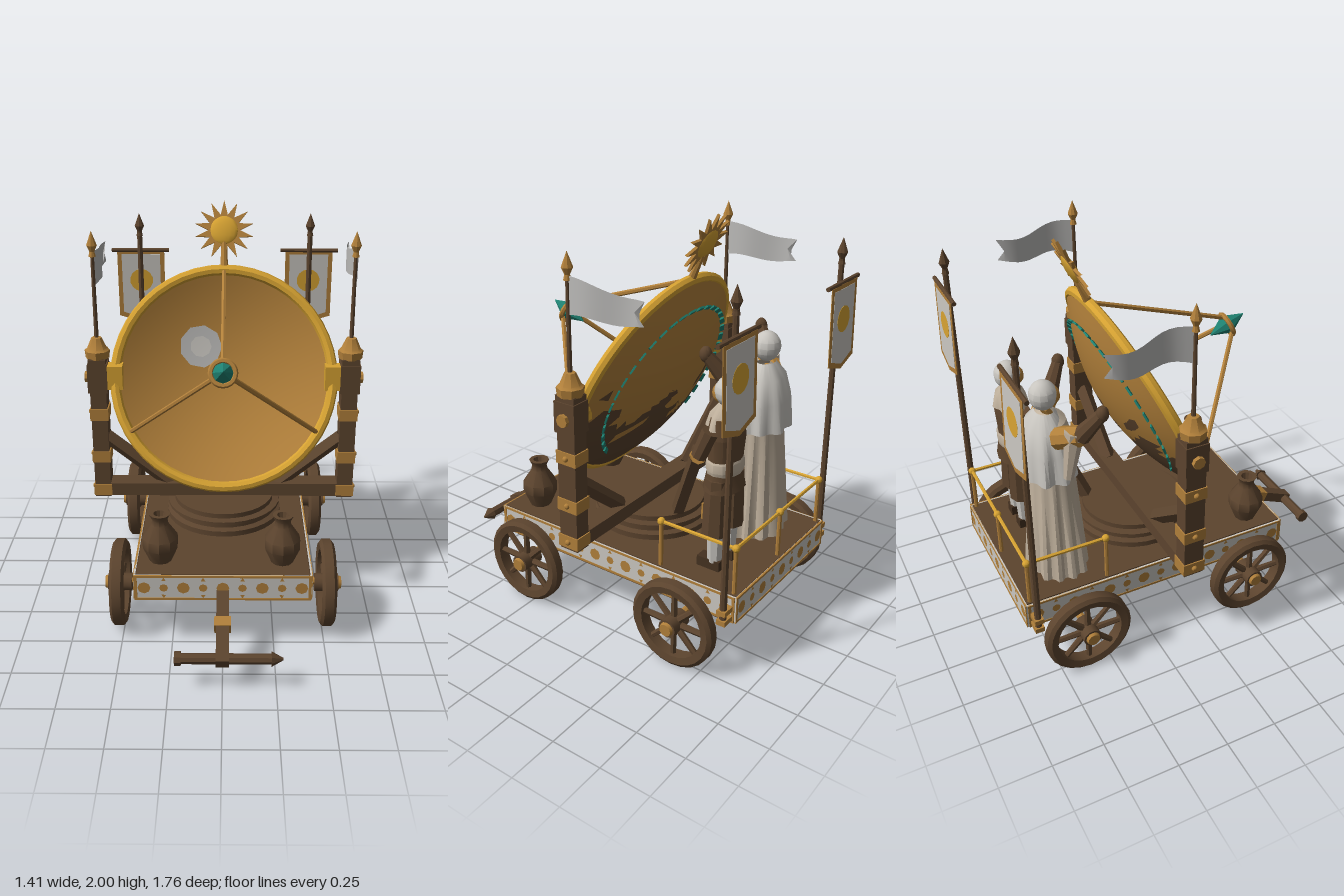
import * as THREE from 'three';
import { toCreasedNormals } from 'three/addons/utils/BufferGeometryUtils.js';

const V = (x, y, z) => new THREE.Vector3(x, y, z);
const material = (name, color, side = THREE.FrontSide) => {
  const m = new THREE.MeshStandardMaterial({ color, side });
  m.name = name;
  return m;
};
const D = THREE.DoubleSide;

export function createModel() {
  const root = new THREE.Group();
  root.name = 'sunDishWagon';
  const wood = material('wood', 0x5c442e), darkWood = material('darkWood', 0x443120);
  const bronze = material('bronze', 0xb07f3a), gold = material('gold', 0xd6a232);
  const ivory = material('ivory', 0xc9c6c0), linen = material('linen', 0xbfb09c, D);
  const cloth = material('flagCloth', 0xb9b8b6, D), teal = material('teal', 0x1f8272);

  // ---- helpers ----
  const add = (name, geo, mat, parent = root, pos) => {
    const m = new THREE.Mesh(toCreasedNormals(geo, 0.6), mat);
    m.name = name;
    if (pos) m.position.set(...pos);
    parent.add(m);
    return m;
  };
  const box = (name, w, h, d, mat, pos, parent) => add(name, new THREE.BoxGeometry(w, h, d), mat, parent, pos);
  const rod = (name, a, b, r1, r2, mat, parent = root, sides = 8) => {
    const dir = b.clone().sub(a);
    const m = add(name, new THREE.CylinderGeometry(r2, r1, dir.length(), sides), mat, parent);
    m.position.copy(a).add(b).multiplyScalar(0.5);
    m.quaternion.setFromUnitVectors(V(0, 1, 0), dir.normalize());
    return m;
  };
  const beam = (name, a, b, w, mat) => rod(name, a, b, w * 0.707, w * 0.707, mat, root, 4);
  const lathe = (name, pts, mat, pos, parent = root, seg = 12) =>
    add(name, new THREE.LatheGeometry(pts.map(p => new THREE.Vector2(...p)), seg), mat, parent, pos);
  const ball = (name, r, mat, pos, parent = root, sy = 1) =>
    add(name, new THREE.SphereGeometry(r, 12, 8).scale(1, sy, 1), mat, parent, pos);
  const spear = [[0, 0], [0.018, 0.005], [0.012, 0.03], [0.026, 0.06], [0, 0.13]];

  // ---- deck and underframe ----
  box('deck', 0.83, 0.05, 1.4, wood, [0, 0.387, -0.17]);
  for (const s of [-1, 1]) {
    box('sideBoard', 0.03, 0.13, 1.4, darkWood, [s * 0.405, 0.342, -0.17]);
    box('underBeam', 0.065, 0.11, 1.3, wood, [s * 0.36, 0.295, -0.17]);
    box('endBoard', 0.83, 0.13, 0.03, darkWood, [0, 0.342, -0.17 + s * 0.685]);
  }
  for (const z of [-0.6, -0.3, 0, 0.3]) box('crossBeam', 0.75, 0.06, 0.07, wood, [0, 0.335, z]);

  // ---- decorated skirt panels ----
  const skirt = (len, pos, turn) => {
    const g = new THREE.Group();
    g.name = 'skirtPanel';
    g.position.set(...pos);
    g.rotation.y = turn;
    root.add(g);
    box('panel', len, 0.135, 0.009, ivory, [0, 0, 0], g);
    for (const s of [-1, 1]) {
      box('panelTrim', len, 0.011, 0.009, bronze, [0, s * 0.062, 0.003], g);
      box('panelEnd', 0.014, 0.135, 0.009, bronze, [s * (len / 2 - 0.007), 0, 0.003], g);
    }
    const n = Math.round(len / 0.094);
    for (let i = 0; i < n; i++) {
      const x = (i + 0.5 - n / 2) * len / n;
      add('rosette', new THREE.CircleGeometry(i % 2 ? 0.021 : 0.031, 8), bronze, g, [x, 0, 0.007]);
      for (const s of [-1, 1]) if (i % 2)
        add('petal', new THREE.CircleGeometry(0.013, 3, s * Math.PI / 2), bronze, g, [x, s * 0.045, 0.007]);
    }
  };
  skirt(0.85, [0, 0.342, 0.533], 0);
  skirt(0.85, [0, 0.342, -0.873], Math.PI);
  skirt(1.4, [0.423, 0.342, -0.17], Math.PI / 2);
  skirt(1.4, [-0.423, 0.342, -0.17], -Math.PI / 2);

  // ---- wheels and axles ----
  const rim = [[0.165, -0.03], [0.2, -0.036], [0.218, -0.022], [0.218, 0.022], [0.2, 0.036], [0.165, 0.03], [0.165, -0.03]];
  for (const z of [0.295, -0.61]) {
    rod('axle', V(-0.52, 0.23, z), V(0.52, 0.23, z), 0.02, 0.02, bronze);
    box('axleBolster', 0.78, 0.05, 0.06, wood, [0, 0.262, z]);
    for (const s of [-1, 1]) {
      const w = new THREE.Group();
      w.name = 'wheel';
      w.position.set(s * 0.52, 0.22, z);
      w.rotation.z = -s * Math.PI / 2;
      root.add(w);
      lathe('rim', rim, wood, null, w, 24);
      add('hub', new THREE.CylinderGeometry(0.045, 0.045, 0.12, 12), wood, w);
      add('hubCap', new THREE.CylinderGeometry(0.03, 0.037, 0.02, 12), bronze, w, [0, 0.065, 0]);
      for (let i = 0; i < 8; i++) {
        const a = i * Math.PI / 4, c = Math.cos(a), d = Math.sin(a);
        rod('spoke', V(c * 0.03, 0, d * 0.03), V(c * 0.175, 0, d * 0.175), 0.017, 0.014, wood, w, 6);
      }
    }
  }

  // ---- drawbar ----
  const bar = box('drawbar', 0.06, 0.055, 0.4, wood, [0, 0.233, 0.69]);
  bar.rotation.x = 0.42;
  const band = box('drawbarBand', 0.078, 0.07, 0.05, bronze, [0, 0.233, 0.68]);
  band.rotation.x = 0.42;
  rod('pullBar', V(-0.215, 0.163, 0.845), V(0.23, 0.163, 0.845), 0.025, 0.025, wood);
  rod('pullBarTip', V(0.225, 0.163, 0.845), V(0.28, 0.163, 0.845), 0.035, 0.005, wood);
  rod('pullBarEnd', V(-0.22, 0.163, 0.845), V(-0.19, 0.163, 0.845), 0.033, 0.033, wood);

  // ---- turntable, cross beam and posts ----
  lathe('turntable', [[0.3, 0.41], [0.3, 0.44], [0.275, 0.45], [0.275, 0.465], [0.295, 0.475], [0.295, 0.49],
    [0.26, 0.495], [0.26, 0.52], [0, 0.52]], wood, [0, 0, -0.125], root, 32);
  box('crossBeam', 1.3, 0.07, 0.1, wood, [0, 0.552, -0.125]);
  for (const s of [-1, 1]) {
    const x = s * 0.637;
    box('post', 0.082, 0.77, 0.1, wood, [x, 0.895, -0.125]);
    for (const y of [0.552, 0.742, 0.98]) {
      box('postBand', 0.094, 0.062, 0.112, bronze, [x, y, -0.125]);
      ball('rivet', 0.014, bronze, [x + s * 0.047, y, -0.125]);
    }
    box('postHead', 0.1, 0.15, 0.115, wood, [x, 1.175, -0.125]);
    rod('trunnionCap', V(x, 1.17, -0.125), V(x + s * 0.068, 1.17, -0.125), 0.034, 0.03, bronze);
    rod('trunnion', V(s * 0.53, 1.17, -0.12), V(x, 1.17, -0.12), 0.03, 0.03, gold);
    box('trunnionBracket', 0.08, 0.125, 0.07, gold, [s * 0.55, 1.18, -0.105]);
    box('postNeck', 0.088, 0.03, 0.105, wood, [x, 1.262, -0.125]);
    lathe('postCap', [[0, 1.27], [0.06, 1.275], [0.064, 1.315], [0.05, 1.325], [0.026, 1.38], [0, 1.385]], bronze, [x, 0, -0.125], root, 8);
    beam('brace', V(s * 0.61, 0.84, -0.125), V(s * 0.28, 0.57, -0.125), 0.055, wood);
    rod('flagPole', V(x, 1.37, -0.125), V(x, 1.81, -0.125), 0.011, 0.009, wood);
    lathe('flagPoleTip', spear, bronze, [x, 1.785, -0.125], root, 8);

    // swallow-tailed flag, tapering and waving backwards
    const flag = new THREE.PlaneGeometry(0.4, 0.17, 12, 2), p = flag.attributes.position;
    for (let i = 0; i < p.count; i++) {
      const u = p.getX(i) / 0.4 + 0.5, v = p.getY(i) / 0.085;
      const notch = v === 0 && u > 0.99 ? 0.05 : 0;
      p.setXYZ(i, 0.022 * Math.sin(u * 6) + 0.02 * u,
        v * (0.085 - 0.032 * u) - 0.012 * u + 0.012 * Math.sin(u * 7), -u * 0.4 + notch);
    }
    flag.computeVertexNormals();
    add('flag', flag, cloth, root, [x, 1.725, -0.13]);
  }

  // ---- tilted dish ----
  const dish = new THREE.Group();
  dish.name = 'dish';
  dish.position.set(0, 1.17, -0.105);
  dish.rotation.x = -0.405;
  root.add(dish);
  const R = 0.55, depth = r => -0.15 * (1 - (r / R) ** 2);
  const arc = Array.from({ length: 13 }, (_, i) => i / 12 * R);
  const bowl = (pts) => new THREE.LatheGeometry(pts.map(q => new THREE.Vector2(...q)), 48).rotateX(Math.PI / 2);
  add('dishFace', bowl(arc.map(r => [r, depth(r)]).reverse()), bronze, dish);
  // weathered back: bronze above, bare wood with ragged patches below
  const back = bowl(arc.map(r => [r, depth(r) - 0.02])).toNonIndexed(), bp = back.attributes.position;
  const tone = [[], []];
  for (let i = 0; i < bp.count; i += 3) {
    const x = (bp.getX(i) + bp.getX(i + 1) + bp.getX(i + 2)) / 3, y = (bp.getY(i) + bp.getY(i + 1) + bp.getY(i + 2)) / 3;
    tone[y < -0.08 + 0.09 * Math.sin(x * 17) + 0.08 * Math.sin(y * 41 + x * 23) ? 1 : 0].push(i, i + 1, i + 2);
  }
  [bronze, wood].forEach((m, k) => {
    const g = back.clone();
    g.setIndex(tone[k]);
    add(k ? 'dishBackBare' : 'dishBack', g, m, dish);
  });
  add('dishRim', new THREE.TorusGeometry(0.55, 0.027, 8, 48), gold, dish);
  // pale polished spot
  [[0.11, cloth, 0.004], [0.055, ivory, 0.008]].forEach(([r, m, lift]) => {
    const g = new THREE.CircleGeometry(r, 9), q = g.attributes.position;
    for (let i = 0; i < q.count; i++) {
      const x = q.getX(i) - 0.12, y = q.getY(i) + 0.17;
      q.setXYZ(i, x, y, depth(Math.hypot(x, y)) + lift);
    }
    add('polishedSpot', g, m, dish);
  });
  // teal tiles around the back
  for (let i = 0; i < 29; i++) {
    const a = -0.75 + i * 0.161, g = new THREE.BoxGeometry(0.036, 0.045, 0.009);
    g.rotateY(0.4).translate(0.43, 0, depth(0.43) - 0.022).rotateZ(a);
    add('tealTile', g, teal, dish);
  }

  // ---- receiver and struts ----
  const feed = V(0, -0.017, 0.565);
  feed.y = 0.0;
  for (const a of [90, 210, 330].map(THREE.MathUtils.degToRad))
    rod('strut', V(Math.cos(a) * 0.545, Math.sin(a) * 0.545, 0.01), V(Math.cos(a) * 0.05, Math.sin(a) * 0.05, 0.56), 0.012, 0.012, bronze, dish, 6);
  add('receiverRing', new THREE.TorusGeometry(0.056, 0.013, 6, 20), bronze, dish, feed.toArray());
  rod('receiverFront', feed, V(0, 0, 0.665), 0.05, 0.002, teal, dish, 8);
  rod('receiverBack', feed, V(0, 0, 0.465), 0.05, 0.002, teal, dish, 8);

  // ---- sun crest ----
  const star = new THREE.Shape();
  for (let i = 0; i < 28; i++) {
    const r = i % 2 ? 0.08 : 0.15, a = i * Math.PI / 14 + Math.PI / 2;
    star[i ? 'lineTo' : 'moveTo'](r * Math.cos(a), r * Math.sin(a));
  }
  add('sunRays', new THREE.ExtrudeGeometry(star, { depth: 0.014, bevelEnabled: false }), bronze, dish, [0, 0.75, -0.007]);
  add('sunCore', new THREE.SphereGeometry(0.075, 16, 8).scale(1, 1, 0.3), gold, dish, [0, 0.75, 0]);
  rod('sunStem', V(0, 0.56, 0), V(0, 0.69, 0), 0.02, 0.014, bronze, dish);

  // ---- rear banners ----
  const bannerShape = (w, top, side, tip) => new THREE.Shape([[-w, top], [-w, side], [0, tip], [w, side], [w, top]].map(q => new THREE.Vector2(...q)));
  const plate = (shape, t) => new THREE.ExtrudeGeometry(shape, { depth: t, bevelEnabled: false }).translate(0, 0, -t / 2);
  for (const s of [-1, 1]) {
    const x = s * 0.472;
    rod('bannerPole', V(x, 0.29, -0.84), V(x, 1.76, -0.84), 0.017, 0.014, wood);
    lathe('bannerPoleTip', spear, wood, [x, 1.73, -0.84], root, 8);
    rod('bannerBar', V(x - 0.16, 1.65, -0.857), V(x + 0.16, 1.65, -0.857), 0.011, 0.011, wood);
    for (const y of [0.35, 0.3]) box('poleBracket', 0.09, 0.025, 0.045, bronze, [s * 0.45, y, -0.84]);
    const b = new THREE.Group();
    b.name = 'banner';
    b.position.set(x, 1.645, -0.865);
    b.rotation.x = 0.03;
    root.add(b);
    add('bannerBorder', plate(bannerShape(0.132, 0, -0.38, -0.42), 0.004), bronze, b);
    add('bannerField', plate(bannerShape(0.108, -0.02, -0.358, -0.395), 0.007), ivory, b);
    const disc = new THREE.CylinderGeometry(0.065, 0.065, 0.009, 14).rotateX(Math.PI / 2);
    add('bannerSun', disc, gold, b, [0, -0.17, 0]);
  }

  // ---- rear railing ----
  const railPts = [V(-0.4, 0.645, -0.45), V(-0.4, 0.645, -0.85), V(0, 0.645, -0.85), V(0.4, 0.645, -0.85), V(0.4, 0.645, -0.45)];
  railPts.forEach((p, i) => {
    rod('railPost', V(p.x, 0.41, p.z), p, 0.011, 0.011, bronze);
    ball('railKnob', 0.019, gold, p.toArray());
    if (i) rod('rail', railPts[i - 1], p, 0.009, 0.009, gold, root, 6);
  });

  // ---- clay pots ----
  for (const [x, z] of [[-0.305, 0.39], [0.288, 0.4]])
    lathe('pot', [[0, 0.412], [0.055, 0.412], [0.088, 0.49], [0.088, 0.54], [0.042, 0.61], [0.038, 0.635], [0.052, 0.665], [0.03, 0.665], [0.02, 0.62], [0, 0.62]],
      wood, [x, 0, z], root, 10);

  // ---- lever ----
  beam('lever', V(0.1, 0.53, -0.34), V(0.19, 0.95, -0.51), 0.05, wood);

  // pleated cloth tube: radius ripples more towards the hem
  const pleated = (name, pts, pos, folds, mat, sx, sz) => {
    const g = new THREE.LatheGeometry(pts.map(q => new THREE.Vector2(...q)), 54), q = g.attributes.position;
    const y0 = pts[0][1], y1 = pts.at(-1)[1];
    for (let i = 0; i < q.count; i++) {
      const a = Math.atan2(q.getZ(i), q.getX(i)), t = 1 - (q.getY(i) - y0) / (y1 - y0);
      const k = 1 + t * (0.08 * Math.sin(a * folds) + 0.04 * Math.sin(a * 5 + 1));
      q.setX(i, q.getX(i) * k * sx);
      q.setZ(i, q.getZ(i) * k * sz);
    }
    g.computeVertexNormals();
    return add(name, g, mat, root, pos);
  };

  // ---- robed figure with raised arms ----
  pleated('robe', [[0.17, 0.42], [0.155, 0.6], [0.135, 0.85], [0.118, 1.05], [0.12, 1.17], [0.095, 1.25], [0.035, 1.29]], [-0.18, 0, -0.62], 13, linen, 1.05, 0.84);
  pleated('cape', [[0.15, 0.98], [0.14, 1.12], [0.11, 1.23], [0.05, 1.3]], [-0.18, 0, -0.635], 9, ivory, 1.1, 0.85);
  ball('hood', 0.066, ivory, [-0.18, 1.375, -0.635], root, 1.1);
  ball('face', 0.045, bronze, [-0.18, 1.365, -0.6], root, 1.1);
  for (const s of [-1, 1]) {
    const sh = V(-0.18 + s * 0.1, 1.2, -0.62), el = V(-0.18 + s * 0.19, 1.24, -0.54), hand = V(-0.18 + s * 0.255, 1.37, -0.46);
    rod('sleeve', sh, el, 0.055, 0.05, bronze);
    rod('sleeveDrape', el.clone().add(V(-s * 0.02, 0.02, -0.02)), V(el.x - s * 0.02, 1.02, -0.6), 0.05, 0.025, linen);
    rod('forearm', el, hand, 0.045, 0.028, wood);
    ball('hand', 0.03, wood, hand.toArray(), root, 1.3);
  }

  // ---- worker at the lever ----
  const wx = 0.21, wz = -0.665;
  for (const s of [-1, 1]) {
    const x = wx + s * 0.06;
    box('boot', 0.06, 0.05, 0.12, darkWood, [x, 0.437, wz + 0.02]);
    rod('legWrap', V(x, 0.45, wz), V(x, 0.64, wz), 0.035, 0.045, ivory);
    rod('trouserLeg', V(x, 0.6, wz), V(x * 0.98, 0.88, wz), 0.068, 0.06, wood);
    box('kneePatch', 0.05, 0.08, 0.009, bronze, [x, 0.7, wz + 0.062]);
    const sh = V(wx + s * 0.1, 1.12, wz + 0.02), el = V(wx + s * 0.115, 0.99, wz + 0.07);
    rod('upperArm', sh, el, 0.042, 0.036, wood);
    rod('lowerArm', el, V(0.19 + s * 0.02, 0.92, -0.5), 0.036, 0.025, bronze);
    ball('hand', 0.027, wood, [0.19 + s * 0.02, 0.92, -0.5]);
  }
  lathe('tunic', [[0.12, 0.82], [0.095, 0.93], [0.11, 1.08], [0.09, 1.17], [0.03, 1.21]], wood, [wx, 0, wz], root, 12).scale.z = 0.75;
  lathe('sash', [[0.1, 0.9], [0.106, 0.92], [0.104, 0.96], [0.098, 0.97]], linen, [wx, 0, wz], root, 12).scale.z = 0.78;
  pleated('scarf', [[0.1, 1.12], [0.085, 1.18], [0.04, 1.23]], [wx, 0, wz], 7, linen, 1, 0.85);
  ball('headWrap', 0.066, ivory, [wx, 1.285, wz - 0.005], root, 1.05);
  ball('face', 0.045, bronze, [wx, 1.27, wz + 0.03], root, 1.1);

  return root;
}
